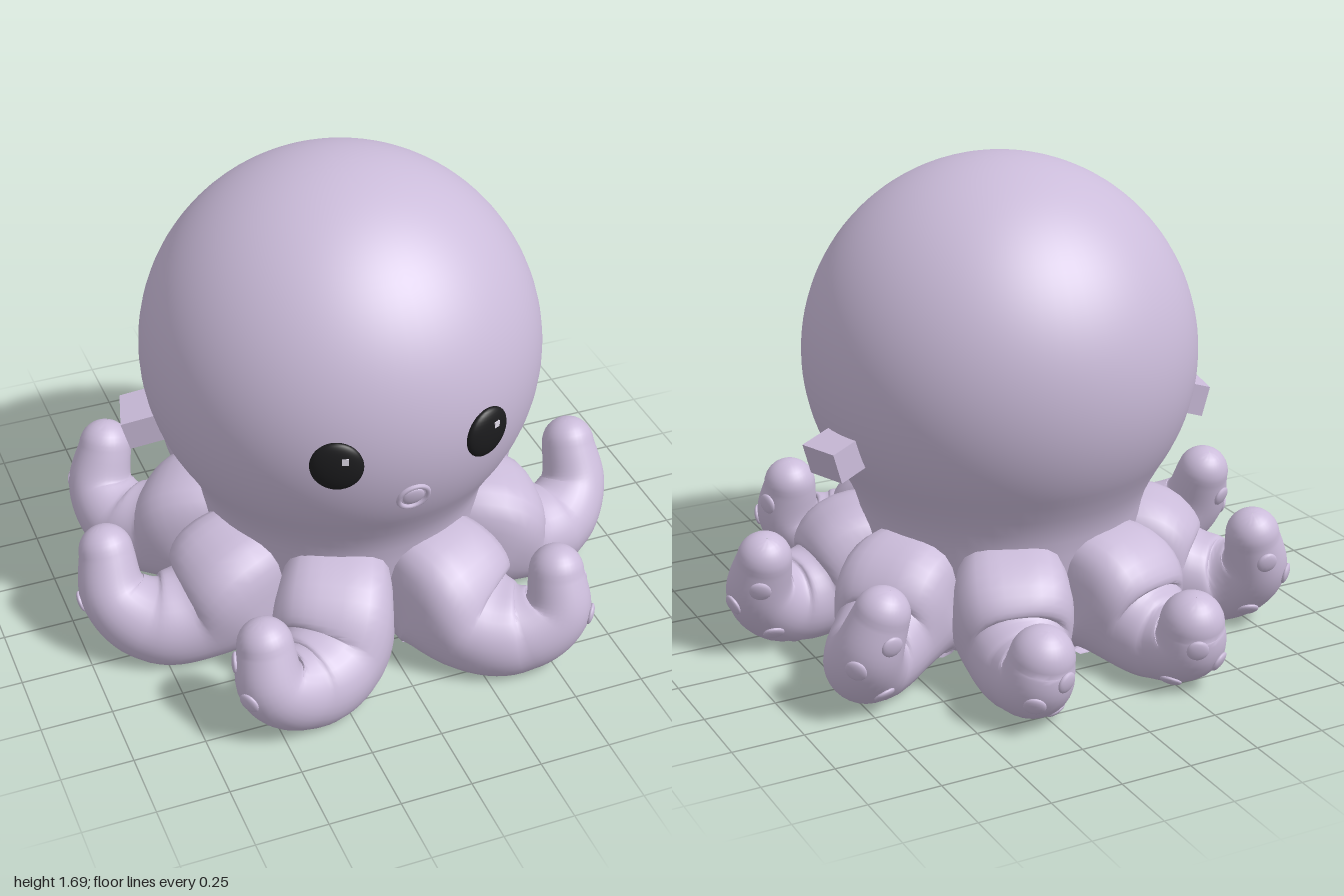
import * as THREE from 'three';
import { toCreasedNormals } from 'three/addons/utils/BufferGeometryUtils.js';

const skin = new THREE.MeshStandardMaterial({ color: 0xcbbcda, name: 'lilac skin' });
const black = new THREE.MeshStandardMaterial({ color: 0x1c1c1e, name: 'eye black' });
const glint = new THREE.MeshStandardMaterial({ color: 0xe6e0ee, name: 'eye glint' });

const HEAD = new THREE.Vector3(0, 1, 0.055), R = 0.69;

function add(parent, name, geometry, material) {
  const mesh = new THREE.Mesh(geometry, material);
  mesh.name = name;
  parent.add(mesh);
  return mesh;
}

// point on the front of the head at a given x, y
function onHead(x, y) {
  const z = Math.sqrt(R * R - x * x - (y - HEAD.y) ** 2) + HEAD.z;
  return new THREE.Vector3(x, y, z);
}

// put a mesh on the head with its z axis along the surface normal
function seat(mesh, x, y, offset = 0) {
  const p = onHead(x, y), n = p.clone().sub(HEAD).normalize();
  mesh.position.copy(p).addScaledVector(n, offset);
  mesh.quaternion.setFromUnitVectors(new THREE.Vector3(0, 0, 1), n);
  return mesh;
}

// each station: x, y, z, half width, half height, squareness of the section
const ARMS = {
  frontTentacle: [
    [0.12, 0.22, 0.34, 0.15, 0.22, 4], [0.2, 0.222, 0.53, 0.2, 0.228, 3.5],
    [0.29, 0.14, 0.665, 0.19, 0.165, 2.3], [0.42, 0.135, 0.745, 0.15, 0.15, 2],
    [0.52, 0.21, 0.775, 0.12, 0.12, 2], [0.53, 0.35, 0.74, 0.095, 0.095, 2]],
  sideTentacle: [
    [0.3, 0.22, 0.18, 0.15, 0.22, 4], [0.48, 0.222, 0.245, 0.2, 0.228, 3.5],
    [0.62, 0.14, 0.255, 0.175, 0.165, 2.3], [0.78, 0.135, 0.23, 0.15, 0.15, 2],
    [0.88, 0.22, 0.165, 0.12, 0.12, 2], [0.885, 0.365, 0.1, 0.095, 0.095, 2]],
  rearSideTentacle: [
    [0.3, 0.22, -0.06, 0.15, 0.22, 4], [0.47, 0.222, -0.14, 0.2, 0.228, 3.5],
    [0.6, 0.14, -0.24, 0.175, 0.165, 2.3], [0.71, 0.135, -0.35, 0.145, 0.145, 2],
    [0.75, 0.22, -0.455, 0.12, 0.12, 2], [0.715, 0.365, -0.495, 0.095, 0.095, 2]],
  backTentacle: [
    [0.12, 0.22, -0.25, 0.15, 0.22, 4], [0.2, 0.222, -0.42, 0.2, 0.228, 3.5],
    [0.245, 0.14, -0.55, 0.175, 0.165, 2.3], [0.275, 0.125, -0.67, 0.14, 0.14, 2],
    [0.29, 0.16, -0.765, 0.125, 0.125, 2], [0.285, 0.24, -0.79, 0.11, 0.11, 2]],
};

// swept section with a rounded tip, flattened where it rests on the floor
function tentacle(stations, side) {
  const path = new THREE.CatmullRomCurve3(stations.map(s => new THREE.Vector3(s[0] * side, s[1], s[2])));
  const size = new THREE.CatmullRomCurve3(stations.map(s => new THREE.Vector3(s[3], s[4], s[5])));
  const STEPS = 40, CAP = 8, SIDES = 32, rings = [];
  let S = null;
  for (let i = 0; i <= STEPS; i++) {
    const t = i / STEPS, T = path.getTangent(t);
    if (!S) S = new THREE.Vector3(0, 1, 0).cross(T);
    S = S.clone().addScaledVector(T, -S.dot(T)).normalize();
    rings.push({ c: path.getPoint(t), T, S, N: T.clone().cross(S), d: size.getPoint(t), k: 1 });
  }
  const end = rings[STEPS];
  for (let i = 1; i <= CAP; i++) {
    const a = (i / CAP) * 1.555;
    rings.push({ ...end, c: end.c.clone().addScaledVector(end.T, end.d.x * Math.sin(a)), k: Math.cos(a) });
  }
  const pos = [], index = [];
  rings.forEach(({ c, S, N, d, k }, i) => {
    for (let j = 0; j < SIDES; j++) {
      const a = (j / SIDES) * Math.PI * 2, u = Math.cos(a), v = Math.sin(a);
      const q = k * Math.pow(Math.abs(u) ** d.z + Math.abs(v) ** d.z, -1 / d.z);
      const p = c.clone().addScaledVector(S, u * q * d.x).addScaledVector(N, v * q * d.y);
      pos.push(p.x, Math.max(0, p.y), p.z);
      if (i < rings.length - 1) {
        const b = i * SIDES, n = (j + 1) % SIDES;
        index.push(b + j, b + n, b + SIDES + n, b + j, b + SIDES + n, b + SIDES + j);
      }
    }
  });
  const geo = new THREE.BufferGeometry();
  geo.setAttribute('position', new THREE.Float32BufferAttribute(pos, 3));
  geo.setIndex(index);
  return { geo: toCreasedNormals(geo, 0.8), rings };
}

export function createModel() {
  const model = new THREE.Group();
  model.name = 'octopus';

  // head, neck and underside as one lathe
  const profile = [[0, 0.015], [0.4, 0.015], [0.45, 0.08], [0.475, 0.25], [0.495, 0.4], [0.505, 0.46],
    [0.52, 0.51], [0.543, 0.56]].map(p => new THREE.Vector2(...p));
  for (let i = 0; i <= 40; i++) {
    const a = THREE.MathUtils.lerp(-0.58, Math.PI / 2, i / 40);
    profile.push(new THREE.Vector2(Math.max(0, R * Math.cos(a)), HEAD.y + R * Math.sin(a)));
  }
  add(model, 'headAndBody', toCreasedNormals(new THREE.LatheGeometry(profile, 72), 0.6), skin).position.z = HEAD.z;

  // mouth: a thin raised ring around a small button
  seat(add(model, 'mouthRing', new THREE.TorusGeometry(0.052, 0.009, 8, 32), skin), 0, 0.8);
  seat(add(model, 'mouthButton', new THREE.SphereGeometry(0.038, 24, 12).scale(1, 1, 0.25), skin), 0, 0.8);

  for (const side of [1, -1]) {
    // eyes
    seat(add(model, 'eye', new THREE.SphereGeometry(1, 32, 20).scale(0.088, 0.092, 0.03), black), side * 0.26, 0.98, 0.003);
    seat(add(model, 'eyeGlint', new THREE.BoxGeometry(0.022, 0.022, 0.008), glint), side * 0.255 + 0.02, 1.015, 0.029);

    // small tilted blocks on the cheeks
    const fin = add(model, 'sideBlock', new THREE.BoxGeometry(0.16, 0.11, 0.165), skin);
    fin.position.set(side * 0.665, 0.77, -0.065);
    fin.rotation.set(0.05, side * 0.27, side * -0.28);
    fin.rotation.z = side * 0.28 * -1;

    // tentacles with suckers on the outside of the curl
    for (const [name, stations] of Object.entries(ARMS)) {
      const { geo, rings } = tentacle(stations, side);
      const arm = new THREE.Group();
      arm.name = name;
      model.add(arm);
      add(arm, 'limb', geo, skin);
      [[28, 0.5], [33, -0.45], [37, 0.4]].forEach(([i, turn]) => {
        const { c, S, N, d } = rings[i];
        const dir = N.clone().multiplyScalar(-Math.cos(turn)).addScaledVector(S, Math.sin(turn) * side);
        const cup = add(arm, 'sucker', new THREE.SphereGeometry(0.038, 16, 10).scale(1, 1, 0.35), skin);
        cup.position.copy(c).addScaledVector(dir, d.x * 0.99);
        cup.quaternion.setFromUnitVectors(new THREE.Vector3(0, 0, 1), dir);
      });
    }
  }
  return model;
}
